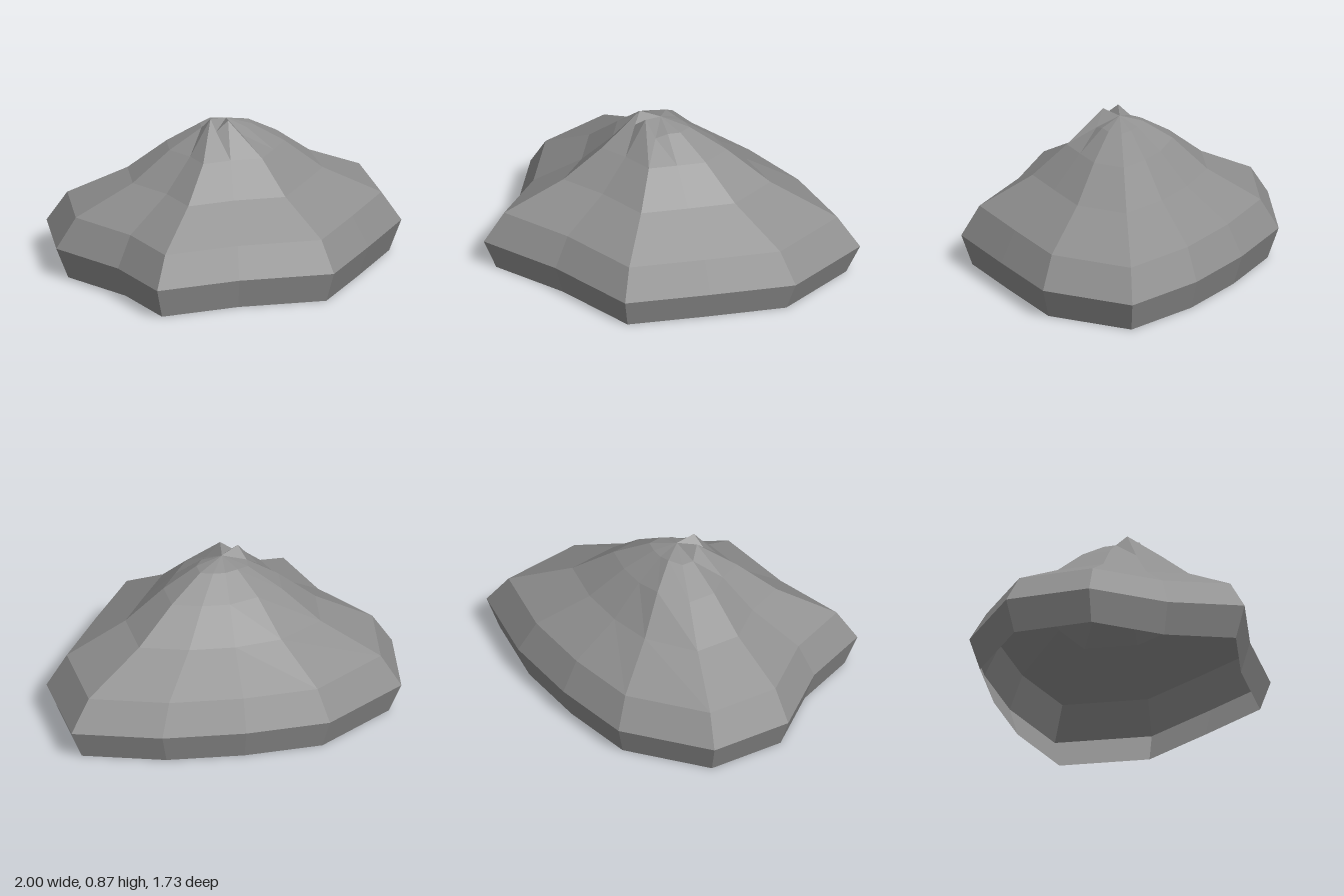
import * as THREE from 'three';

// Rim outline as [x, z] offsets from the peak axis, from +x round towards +z
const RIM = [
  [1.11, 0], [0.86, 0.47], [0.43, 0.67], [0, 0.86], [-0.45, 0.59], [-0.89, 0.41],
  [-0.8, 0], [-0.83, -0.46], [-0.55, -0.84], [0, -0.865], [0.41, -0.64], [0.78, -0.37],
];
// Horizontal rings as [height, scale of the rim outline]
const RINGS = [[0, 0.93], [0.17, 1], [0.34, 0.885], [0.512, 0.55], [0.685, 0.333], [0.8, 0.145]];
// Uneven heights, keyed by ring and rim index: the notch at the peak and a higher back
const HEIGHTS = { '5-3': 0.78, '5-4': 0.865, '5-5': 0.81, '5-6': 0.865, '5-9': 0.813, '4-9': 0.71, '3-9': 0.525 };
const AXIS_X = -0.11;

function rockGeometry() {
  const n = RIM.length;
  const positions = [];
  const indices = [];
  RINGS.forEach(([y, s], r) => RIM.forEach(([x, z], i) => {
    positions.push(AXIS_X + x * s, HEIGHTS[`${r}-${i}`] ?? y, z * s);
  }));
  const apex = positions.length / 3;
  positions.push(AXIS_X, 0.845, 0);

  // Walls between neighbouring rings, then the fan that closes the peak
  for (let i = 0; i < n; i++) {
    const j = (i + 1) % n;
    for (let r = 0; r < RINGS.length - 1; r++) {
      const a = r * n, b = a + n;
      indices.push(a + i, b + i, b + j, a + i, b + j, a + j);
    }
    const top = (RINGS.length - 1) * n;
    indices.push(top + i, apex, top + j);
  }

  const indexed = new THREE.BufferGeometry();
  indexed.setAttribute('position', new THREE.Float32BufferAttribute(positions, 3));
  indexed.setIndex(indices);
  const geometry = indexed.toNonIndexed();
  geometry.computeVertexNormals();
  return geometry;
}

export function createModel() {
  const group = new THREE.Group();
  group.name = 'rock';
  // Open underneath, so both sides show
  const stone = new THREE.MeshStandardMaterial({ color: 0x909090, flatShading: true, side: THREE.DoubleSide });
  stone.name = 'grey stone';
  const shell = new THREE.Mesh(rockGeometry(), stone);
  shell.name = 'rockShell';
  group.add(shell);
  return group;
}
